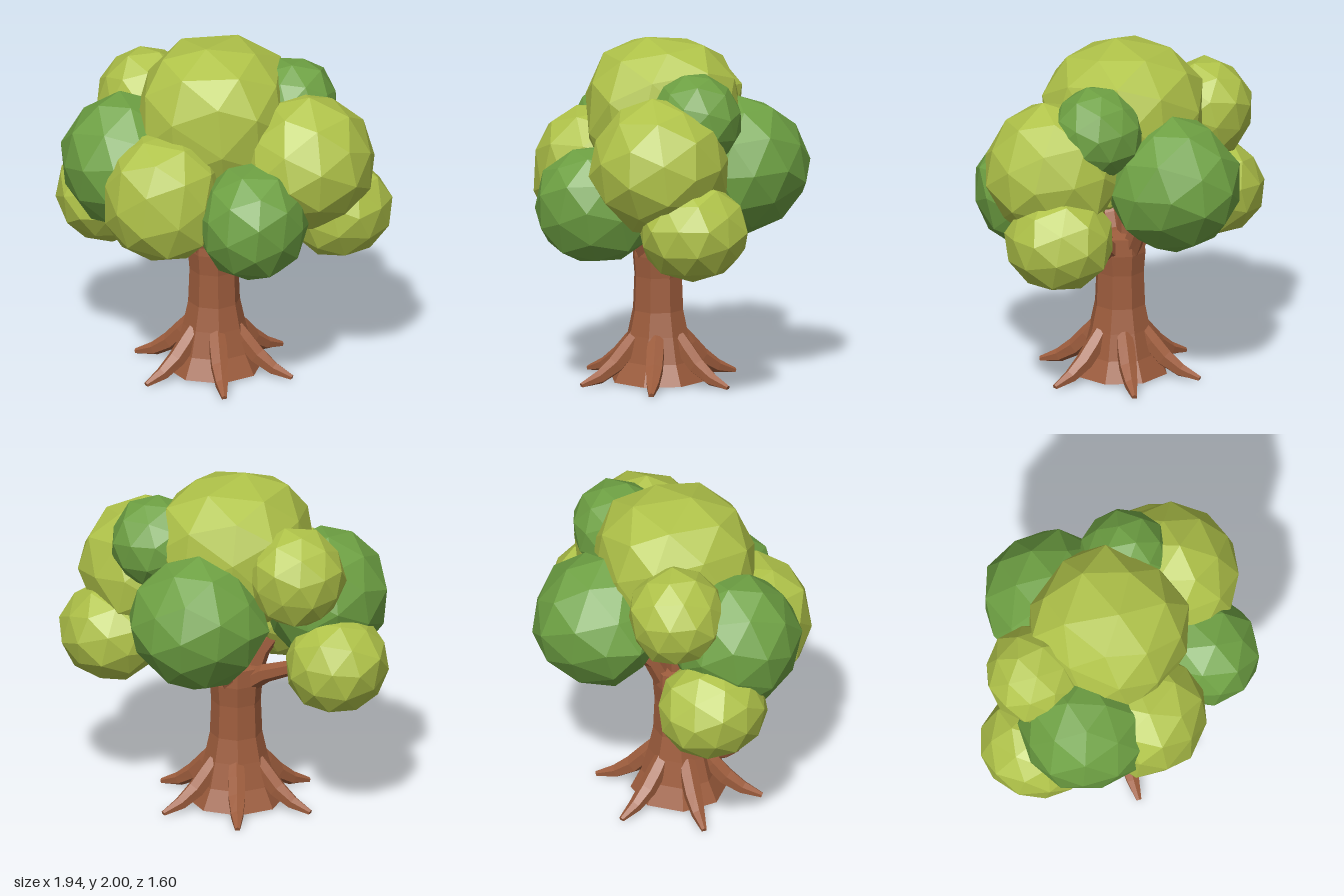
import * as THREE from 'three';

const mat = (name, color) => {
  const m = new THREE.MeshStandardMaterial({ color, flatShading: true });
  m.name = name;
  return m;
};

// Tapering faceted limb: points are [x, y, z, radius]; both ends are capped
function limb(points, sides) {
  const pos = [], idx = [], n = points.length;
  const centres = points.map(p => new THREE.Vector3(p[0], p[1], p[2]));
  centres.forEach((c, i) => {
    const t = centres[Math.min(i + 1, n - 1)].clone().sub(centres[Math.max(i - 1, 0)]).normalize();
    const u = new THREE.Vector3(-t.z, 0, t.x).normalize();
    const v = t.clone().cross(u);
    for (let k = 0; k < sides; k++) {
      const a = (k + 0.5) / sides * Math.PI * 2, r = points[i][3];
      const p = c.clone().addScaledVector(u, Math.cos(a) * r).addScaledVector(v, Math.sin(a) * r);
      pos.push(p.x, Math.max(p.y, 0.003), p.z);
    }
  });
  for (let i = 0; i < n - 1; i++) {
    for (let k = 0; k < sides; k++) {
      const a = i * sides + k, b = i * sides + (k + 1) % sides;
      idx.push(a, b, b + sides, a, b + sides, a + sides);
    }
  }
  const last = (n - 1) * sides;
  for (let k = 1; k < sides - 1; k++) idx.push(0, k + 1, k, last, last + k, last + k + 1);
  const g = new THREE.BufferGeometry();
  g.setAttribute('position', new THREE.Float32BufferAttribute(pos, 3));
  g.setIndex(idx);
  const flat = g.toNonIndexed();
  flat.computeVertexNormals();
  return flat;
}

// Slightly uneven faceted ball, turned and fitted to a box; power below 1 fills the corners
function leafBall(min, max, turn, power) {
  const g = new THREE.IcosahedronGeometry(1, 1);
  const p = g.attributes.position, v = new THREE.Vector3();
  const spin = new THREE.Euler(turn * 1.3, turn * 2.1, turn * 0.7, 'ZYX');
  const fill = c => Math.sign(c) * Math.abs(c) ** power;
  for (let i = 0; i < p.count; i++) {
    v.fromBufferAttribute(p, i);
    v.multiplyScalar(1 + 0.04 * Math.sin(5 * v.x + turn) * Math.cos(4 * v.y - 3 * v.z + turn));
    v.applyEuler(spin);
    p.setXYZ(i, fill(v.x), fill(v.y), fill(v.z));
  }
  g.computeBoundingBox();
  const centre = g.boundingBox.getCenter(new THREE.Vector3());
  const size = g.boundingBox.getSize(new THREE.Vector3());
  g.translate(-centre.x, -centre.y, -centre.z);
  g.scale(...[0, 1, 2].map(i => (max[i] - min[i]) / size.getComponent(i)));
  g.translate(...[0, 1, 2].map(i => (max[i] + min[i]) / 2));
  g.computeVertexNormals();
  return g;
}

export function createModel() {
  const tree = new THREE.Group();
  tree.name = 'tree';
  const bark = mat('bark brown', 0x9e5d3d);
  const lime = mat('lime leaf', 0xb0c349);
  const green = mat('green leaf', 0x6ea143);
  const add = (name, geometry, material) => {
    const mesh = new THREE.Mesh(geometry, material);
    mesh.name = name;
    tree.add(mesh);
  };
  const cx = -0.03, cz = 0.07;

  // Octagonal trunk, flaring at the foot
  const profile = [[0, 0.012], [0.28, 0.012], [0.22, 0.13], [0.18, 0.28], [0.15, 0.42],
    [0.142, 0.62], [0.152, 0.74], [0.145, 0.84], [0, 0.86]].map(p => new THREE.Vector2(...p));
  const trunk = new THREE.LatheGeometry(profile, 8, Math.PI / 8).toNonIndexed();
  trunk.translate(cx, 0, cz);
  trunk.computeVertexNormals();
  add('trunk', trunk, bark);

  // Six roots spread evenly around the foot
  const rootPath = [[0.135, 0.27, 0.048], [0.19, 0.2, 0.056], [0.27, 0.115, 0.054],
    [0.37, 0.05, 0.04], [0.485, 0.012, 0.016]];
  for (let k = 0; k < 6; k++) {
    const a = THREE.MathUtils.degToRad(20 + 60 * k);
    add('root', limb(rootPath.map(([d, y, r]) =>
      [cx + Math.sin(a) * d, y, cz + Math.cos(a) * d, r]), 6), bark);
  }

  // Branches reaching from the trunk top into the leaves
  const tips = [[-0.42, 0.91, -0.03], [0.4, 0.97, 0.0], [-0.3, 1.12, 0.17], [0.3, 1.12, 0.12],
    [-0.17, 1.08, 0.32], [0.15, 1.06, 0.34], [0.02, 1.08, -0.25], [-0.08, 1.2, 0.0]];
  for (const [x, y, z] of tips) {
    const dx = x - cx, dz = z - cz;
    const s = Math.min(0.08 / Math.hypot(dx, dz), 0.4);
    add('branch', limb([
      [cx + dx * s, 0.74, cz + dz * s, 0.06],
      [cx + dx * 0.5, 0.74 + (y - 0.74) * 0.5, cz + dz * 0.5, 0.054],
      [x, y, z, 0.042],
    ], 6), bark);
  }

  // Leaf clusters: name, colour, box corners, turn, corner power
  const clusters = [
    ['crownLeaves', lime, [-0.48, 1.12, -0.4], [0.4, 2.0, 0.48], 0.12, 0.85],
    ['frontRightLeaves', lime, [-0.59, 0.82, 0.06], [0.09, 1.55, 0.76], 1.1, 0.88],
    ['frontLeftLeaves', green, [-0.01, 0.77, 0.1], [0.6, 1.43, 0.8], 1.9, 0.95],
    ['rightLeaves', green, [-0.9, 0.9, -0.18], [-0.16, 1.68, 0.56], 2.6, 1.04],
    ['lowerRightLeaves', lime, [-0.97, 0.7, -0.36], [-0.4, 1.27, 0.26], 3.3, 1],
    ['lowerLeftLeaves', lime, [0.37, 0.73, -0.37], [0.97, 1.29, 0.23], 4.2, 1],
    ['leftLeaves', lime, [0.12, 0.95, -0.28], [0.9, 1.77, 0.52], 5.0, 1.06],
    ['upperLeftLeaves', green, [0.12, 1.33, -0.37], [0.65, 1.87, 0.15], 5.7, 1],
    ['upperRightLeaves', lime, [-0.76, 1.25, -0.45], [-0.2, 1.82, 0.1], 6.6, 1],
    ['backLeaves', green, [-0.38, 0.86, -0.8], [0.44, 1.67, 0.0], 0.06, 1.12],
  ];
  for (const [name, material, min, max, turn, power] of clusters) {
    add(name, leafBall(min, max, turn, power), material);
  }

  return tree;
}
